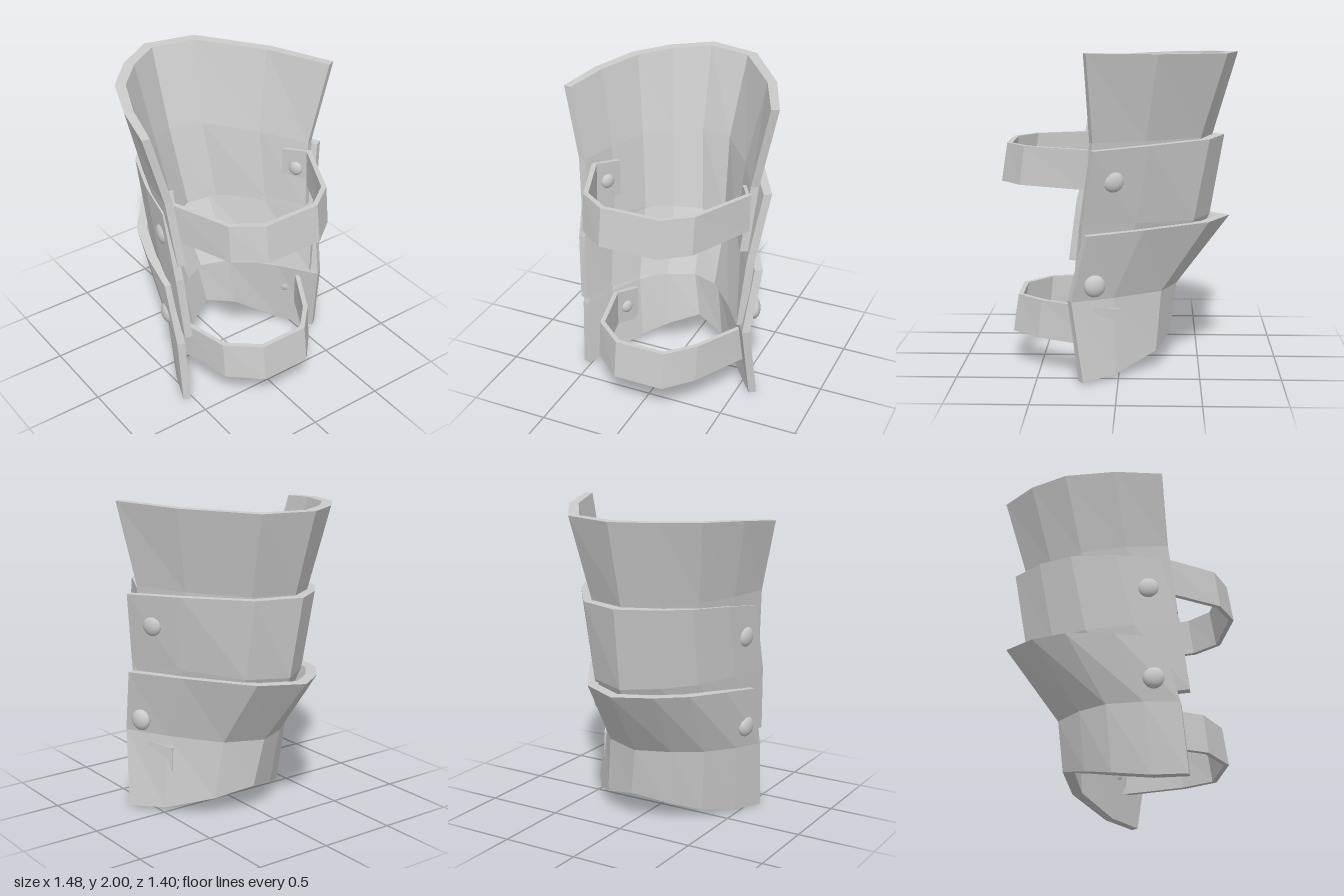
import * as THREE from 'three';

const material = new THREE.MeshStandardMaterial({ color: 0xcccccc, flatShading: true });
const smoothMaterial = new THREE.MeshStandardMaterial({ color: 0xcccccc });

// Shared C-shaped plan: [reach towards the opening 0..1, sideways -1..1]
const PLAN = [[1, 1], [0.69, 0.91], [0.37, 0.74], [0.16, 0.48], [0, 0.13], [0.09, -0.34], [0.55, -0.76], [1, -1]];

// Offset a row of [x, y, z] points inwards in plan, with mitred corners
function inset(row, thickness) {
  const normal = (a, b) => new THREE.Vector2(b[2] - a[2], a[0] - b[0]).normalize();
  return row.map((p, i) => {
    const n1 = normal(row[Math.max(i - 1, 0)], row[Math.max(i, 1)]);
    const last = row.length - 1;
    const n2 = normal(row[Math.min(i, last - 1)], row[Math.min(i + 1, last)]);
    const n = n1.clone().add(n2).normalize();
    const t = thickness(i / last) / Math.max(n.dot(n1), 0.6);
    return [p[0] - n.x * t, p[1], p[2] - n.y * t];
  });
}

// Solid sheet between outer rows (top to bottom) and their inset copies
function sheet(name, outer, thickness) {
  const inner = outer.map((row) => inset(row, thickness));
  const pos = [];
  const quad = (a, b, c, d) => pos.push(...a, ...b, ...d, ...b, ...c, ...d);
  const R = outer.length - 1;
  const C = outer[0].length - 1;
  for (let r = 0; r < R; r++) {
    for (let c = 0; c < C; c++) {
      quad(outer[r][c], outer[r][c + 1], outer[r + 1][c + 1], outer[r + 1][c]);
      quad(inner[r][c + 1], inner[r][c], inner[r + 1][c], inner[r + 1][c + 1]);
    }
    quad(outer[r][0], outer[r + 1][0], inner[r + 1][0], inner[r][0]);
    quad(outer[r][C], inner[r][C], inner[r + 1][C], outer[r + 1][C]);
  }
  for (let c = 0; c < C; c++) {
    quad(outer[0][c], inner[0][c], inner[0][c + 1], outer[0][c + 1]);
    quad(outer[R][c], outer[R][c + 1], inner[R][c + 1], inner[R][c]);
  }
  const geometry = new THREE.BufferGeometry();
  geometry.setAttribute('position', new THREE.Float32BufferAttribute(pos, 3));
  geometry.computeVertexNormals();
  const mesh = new THREE.Mesh(geometry, material);
  mesh.name = name;
  return mesh;
}

// One plate row: x of front end / spine / back end, half widths,
// heights at front end / spine / back end; tuck pulls the back corners inwards
function plateRow({ x, zF, zB, y, power = 1, shift = 0, tuck = 0 }) {
  return PLAN.map(([reach, side], i) => {
    const back = i === 5 || i === 6;
    const s = back ? reach + tuck * 0.08 : reach;
    const w = back ? side + tuck * 0.05 : side;
    const end = w > 0 ? 0 : 2;
    return [
      x[1] + (x[end] - x[1]) * s,
      y[end] + (y[1] - y[end]) * Math.pow(1 - s, power),
      w * (w > 0 ? zF : zB) + shift * (1 - s),
    ];
  });
}

// Flattened dome whose axis points along (nx, nz)
function rivet(name, x, y, z, nx, nz, radius) {
  const mesh = new THREE.Mesh(new THREE.SphereGeometry(radius, 16, 10), smoothMaterial);
  mesh.name = name;
  mesh.scale.z = 0.55;
  mesh.position.set(x, y, z);
  mesh.rotation.y = Math.atan2(nx, nz);
  return mesh;
}

// Strap along a plan path, leaning outwards towards its lower edge, tabs dropping slightly
function strap(name, path, yTop, yBottom) {
  const row = (height, scale) => path.map(([x, z], i) => {
    const drop = i === 0 || i === path.length - 1 ? 0.03 : 0.005;
    return [x * scale, height - drop, z];
  });
  return sheet(name, [row(yTop, 0.95), row(yBottom, 1)], () => 0.03);
}

export function createModel() {
  const group = new THREE.Group();
  group.name = 'armGuard';

  // Overlapping plates
  const plates = {
    upperPlate: [
      { x: [0.19, -0.74, 0.18], zF: 0.7, zB: 0.7, y: [1.92, 1.98, 2.0], power: 0.7 },
      { x: [0.24, -0.585, 0.15], zF: 0.59, zB: 0.58, y: [1.47, 1.46, 1.47], tuck: 0.3 },
      { x: [0.3, -0.465, 0.2], zF: 0.55, zB: 0.54, y: [1.04, 0.93, 1.04], power: 2, shift: -0.05, tuck: 0.5 },
    ],
    middlePlate: [
      { x: [0.19, -0.66, 0.14], zF: 0.58, zB: 0.66, y: [1.38, 1.455, 1.43], power: 0.7, tuck: 0.5 },
      { x: [0.31, -0.57, 0.21], zF: 0.575, zB: 0.59, y: [0.95, 0.94, 0.98], shift: -0.02, tuck: 0.6 },
      { x: [0.36, -0.33, 0.25], zF: 0.55, zB: 0.55, y: [0.53, 0.49, 0.54], power: 1.5, shift: -0.06, tuck: 1 },
    ],
    lowerPlate: [
      { x: [0.19, -0.7, 0.18], zF: 0.58, zB: 0.635, y: [0.84, 0.93, 0.92], power: 0.8, tuck: 0.9 },
      { x: [0.3, -0.36, 0.28], zF: 0.57, zB: 0.6, y: [0.44, 0.49, 0.51], shift: -0.05, tuck: 0.8 },
      { x: [0.34, -0.32, 0.21], zF: 0.56, zB: 0.63, y: [0.005, 0.18, 0.015], power: 2.5, shift: -0.1, tuck: 1 },
    ],
  };
  for (const [name, rows] of Object.entries(plates)) {
    group.add(sheet(name, rows.map(plateRow), (u) => 0.05 + 0.02 * Math.sin(Math.PI * u)));
  }

  // Straps across the opening, with folded tabs at both ends
  group.add(strap('upperStrap', [
    [0.03, -0.46], [0.2, -0.545], [0.61, -0.35], [0.74, -0.18],
    [0.74, 0.2], [0.61, 0.38], [0.2, 0.525], [0.03, 0.43],
  ], 1.43, 1.19));
  group.add(strap('lowerStrap', [
    [-0.01, -0.44], [0.15, -0.525], [0.51, -0.33], [0.68, -0.175],
    [0.68, 0.155], [0.51, 0.35], [0.13, 0.435], [-0.04, 0.355],
  ], 0.46, 0.22));

  // Large rivets outside the plates
  group.add(rivet('frontPlateRivet', 0.125, 1.19, 0.54, -0.17, 1, 0.068));
  group.add(rivet('frontPlateRivet', 0.15, 0.595, 0.54, -0.17, 1, 0.068));
  group.add(rivet('backPlateRivet', 0.03, 1.24, -0.55, -0.36, -1, 0.068));
  group.add(rivet('backPlateRivet', 0.14, 0.605, -0.575, -0.36, -1, 0.068));

  // Small rivets on the inside of the strap tabs
  group.add(rivet('frontStrapRivet', 0.13, 1.285, 0.45, 0.49, -0.87, 0.047));
  group.add(rivet('backStrapRivet', 0.13, 1.285, -0.475, 0.45, 0.89, 0.047));
  group.add(rivet('frontStrapRivet', 0.06, 0.32, 0.37, 0.45, -0.89, 0.043));
  group.add(rivet('backStrapRivet', 0.08, 0.325, -0.455, 0.47, 0.88, 0.043));

  return group;
}
